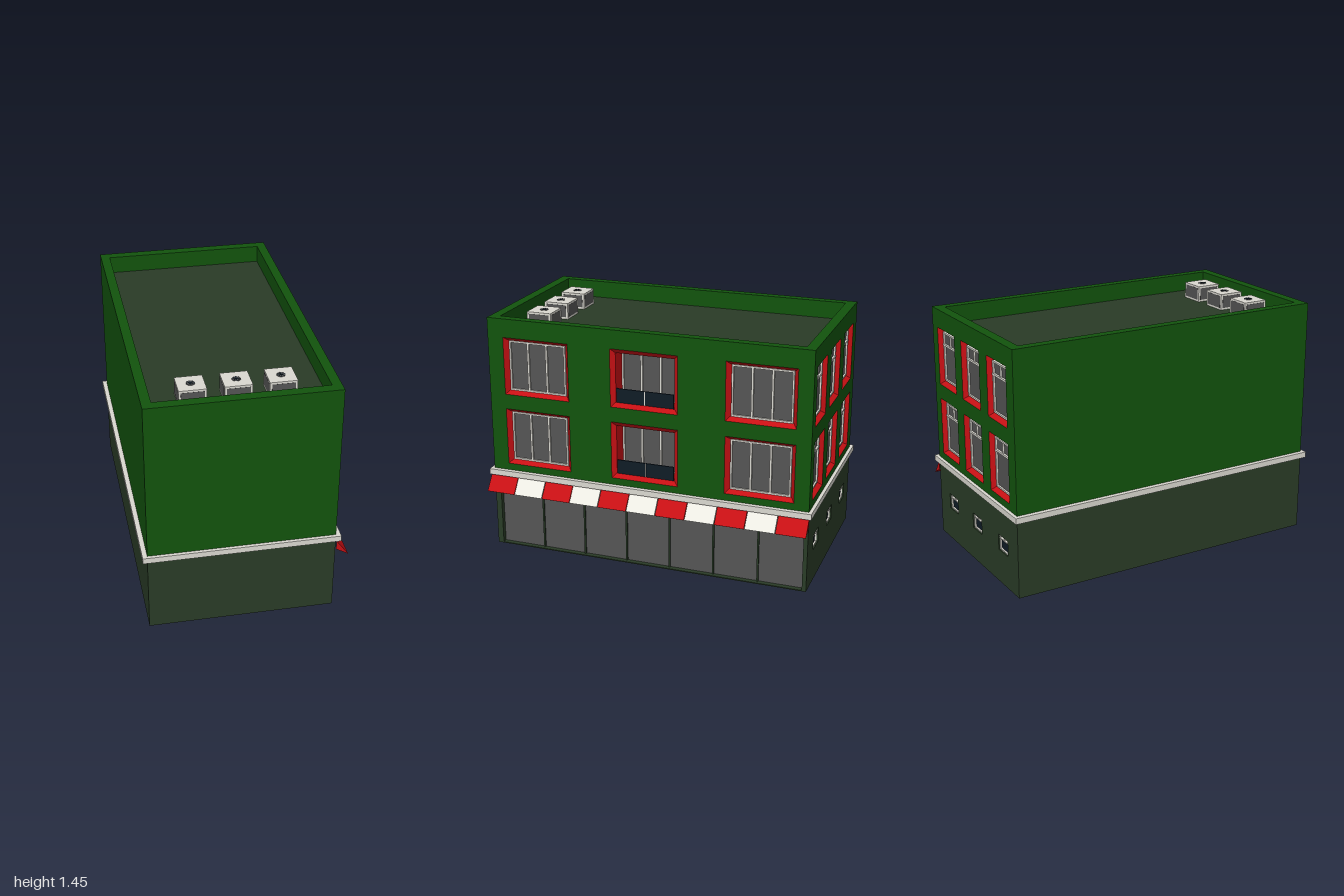
import * as THREE from 'three';

const paint = (color) => new THREE.MeshStandardMaterial({ color, side: THREE.DoubleSide });
const GREEN = paint(0x12540d), DARK = paint(0x2a3c27), RED = paint(0xc81014), TRIM = paint(0xdcdad2);
const WHITE = paint(0xecebe3), GLASS = paint(0x555555), NAVY = paint(0x0f1c26);

// Body extents and storey heights
const X0 = -0.56, X1 = 0.515, CX = (X0 + X1) / 2, W = X1 - X0, D = 1.96;
const BAND0 = 0.465, BAND1 = 0.5, ROOF = 1.34, TOP = 1.445;

function add(parent, name, geo, mat, x = 0, y = 0, z = 0) {
  const m = new THREE.Mesh(geo, mat);
  m.name = name;
  m.position.set(x, y, z);
  parent.add(m);
  return m;
}
const box = (parent, name, mat, w, h, d, x, y, z) =>
  add(parent, name, new THREE.BoxGeometry(w, h, d), mat, x, y, z);

function rect(target, x0, y0, x1, y1) {
  return target.moveTo(x0, y0).lineTo(x1, y0).lineTo(x1, y1).lineTo(x0, y1).closePath();
}

// Horizontal rectangular ring between two heights
function ring(parent, name, mat, ow, od, iw, id, y0, y1) {
  const s = rect(new THREE.Shape(), -ow / 2, -od / 2, ow / 2, od / 2);
  s.holes.push(rect(new THREE.Path(), -iw / 2, -id / 2, iw / 2, id / 2));
  const g = new THREE.ExtrudeGeometry(s, { depth: y1 - y0, bevelEnabled: false }).rotateX(-Math.PI / 2);
  return add(parent, name, g, mat, CX, y0, 0);
}

// Flat wall with openings given as { x, y, w, h } about their centres
function wall(parent, name, mat, w, y0, y1, holes = []) {
  const s = rect(new THREE.Shape(), -w / 2, y0, w / 2, y1);
  for (const o of holes)
    s.holes.push(rect(new THREE.Path(), o.x - o.w / 2, o.y - o.h / 2, o.x + o.w / 2, o.y + o.h / 2));
  return add(parent, name, new THREE.ShapeGeometry(s), mat);
}

// Lining of an opening: rectangles joined through [inset, depth] steps
function reveal(parent, name, mat, w, h, steps) {
  const loops = steps.map(([i, d]) => [[-1, -1], [1, -1], [1, 1], [-1, 1]]
    .map(([sx, sy]) => [sx * (w / 2 - i), sy * (h / 2 - i), -d]));
  const p = [];
  for (let k = 0; k + 1 < loops.length; k++)
    for (let j = 0; j < 4; j++) {
      const n = (j + 1) % 4, a = loops[k][j], b = loops[k][n], c = loops[k + 1][n], d = loops[k + 1][j];
      p.push(...a, ...b, ...c, ...a, ...c, ...d);
    }
  const g = new THREE.BufferGeometry();
  g.setAttribute('position', new THREE.Float32BufferAttribute(p, 3));
  g.computeVertexNormals();
  return add(parent, name, g, mat);
}

// Pane with a thin light border
function pane(parent, w, h, z, glass = GLASS, t = 0.01) {
  add(parent, 'glass', new THREE.PlaneGeometry(w, h), glass, 0, 0, z);
  for (const s of [-1, 1]) {
    box(parent, 'sashSide', TRIM, t, h, 0.012, s * (w - t) / 2, 0, z + 0.004);
    box(parent, 'sashRail', TRIM, w, t, 0.012, 0, s * (h - t) / 2, z + 0.004);
  }
}

function opening(parent, name, o) {
  const g = new THREE.Group();
  g.name = name;
  g.position.set(o.x, o.y, 0);
  parent.add(g);
  return g;
}

// Three-light window, optionally set deep behind a balcony panel
function sideWindow(parent, o, balcony) {
  const g = opening(parent, balcony ? 'balcony' : 'sideWindow', o);
  const depth = balcony ? 0.13 : 0.035, w = o.w - 0.06, h = o.h - 0.05;
  reveal(g, 'redSurround', RED, o.w, o.h, balcony ? [[0, 0], [0.027, 0.02], [0.027, depth]] : [[0, 0], [0.027, depth]]);
  pane(g, w + 0.006, h + 0.004, -depth + 0.002);
  for (const s of [-1, 1]) box(g, 'mullion', TRIM, 0.012, h, 0.012, s * w / 6, 0, -depth + 0.006);
  if (balcony) {
    box(g, 'balconyPanel', NAVY, w, 0.085, 0.008, 0, -h / 2 + 0.043, -0.022);
    box(g, 'balconyPost', TRIM, 0.005, 0.085, 0.012, 0, -h / 2 + 0.043, -0.021);
  }
}

// Sash window with a split upper light
function backWindow(parent, o) {
  const g = opening(parent, 'backWindow', o);
  const w = o.w - 0.05, h = o.h - 0.05;
  reveal(g, 'redSurround', RED, o.w, o.h, [[0, 0], [0.025, 0.035]]);
  pane(g, w, h, -0.033);
  box(g, 'transom', TRIM, w, 0.012, 0.014, 0, h * 0.24, -0.028);
  box(g, 'upperMullion', TRIM, 0.008, h * 0.26, 0.012, 0, h * 0.37, -0.029);
}

function ventWindow(parent, o) {
  const g = opening(parent, 'ventWindow', o);
  reveal(g, 'ventLining', DARK, o.w, o.h, [[0, 0], [0, 0.02]]);
  pane(g, o.w, o.h, -0.018, NAVY, 0.007);
  box(g, 'ventBar', TRIM, o.w, 0.006, 0.012, 0, o.h * 0.25, -0.012);
  box(g, 'ventMullion', TRIM, 0.006, o.h * 0.25, 0.012, 0, o.h * 0.37, -0.012);
}

// Striped shop awning: sloped sheets with triangular cheeks
function awning(parent) {
  const g = new THREE.Group();
  g.name = 'awning';
  parent.add(g);
  const n = 11, step = 1.985 / n, run = 0.07, drop = 0.095, len = Math.hypot(run, drop);
  const cheek = new THREE.Shape([[0, 0], [0, -0.055], [run, -drop]].map((p) => new THREE.Vector2(...p)));
  for (let i = 0; i < n; i++) {
    const z = 1 - (i + 0.5) * step, mat = i % 2 ? WHITE : RED;
    const sheet = box(g, 'awningStripe', mat, len, 0.003, step - 0.003, X1 + run / 2, BAND0 - drop / 2, z);
    sheet.rotation.z = -Math.atan2(drop, run);
    if (i % 2 === 0)
      for (const s of [-1, 1])
        add(g, 'awningCheek', new THREE.ShapeGeometry(cheek), RED, X1, BAND0, z + s * (step / 2 - 0.002));
  }
}

// Rooftop cooler with framed side panels and a fan on top
function cooler(parent, x) {
  const g = new THREE.Group();
  g.name = 'rooftopCooler';
  g.position.set(x, ROOF, 0.75);
  parent.add(g);
  const s = 0.153, h = 0.098;
  box(g, 'coolerBody', TRIM, s, h, s, 0, h / 2, 0);
  for (let i = 0; i < 4; i++) {
    const side = new THREE.Group();
    side.rotation.y = i * Math.PI / 2;
    side.name = 'coolerSide';
    g.add(side);
    box(side, 'coolerGrille', GLASS, s - 0.024, h - 0.024, 0.002, 0, h / 2, s / 2);
  }
  add(g, 'fanOpening', new THREE.CylinderGeometry(0.025, 0.025, 0.002, 20), GLASS, 0, h + 0.001, 0);
  add(g, 'fanHub', new THREE.CylinderGeometry(0.007, 0.007, 0.004, 12), NAVY, 0, h + 0.002, 0);
  for (let i = 0; i < 4; i++)
    box(g, 'fanSpoke', NAVY, 0.048, 0.002, 0.003, 0, h + 0.002, 0).rotation.y = i * Math.PI / 4;
}

export function createModel() {
  const model = new THREE.Group();
  model.name = 'building';

  // One group per facade: local x along the wall, local z outward
  const facade = (name, x, z, turn) => {
    const g = new THREE.Group();
    g.name = name;
    g.position.set(x, 0, z);
    g.rotation.y = turn;
    model.add(g);
    return g;
  };
  const front = facade('frontFacade', CX, D / 2, 0);
  const blind = facade('blindFacade', X0, 0, -Math.PI / 2);
  const back = facade('backFacade', CX, -D / 2, Math.PI);
  const shop = facade('shopFacade', X1, 0, Math.PI / 2);

  // Blank facades
  for (const [g, w] of [[front, W], [blind, D]]) {
    wall(g, 'lowerWall', DARK, w, 0, BAND0);
    wall(g, 'upperWall', GREEN, w, BAND1, ROOF);
  }

  // Shop side: two rows of windows above a glazed front
  const rows = [0.717, 1.158];
  const sideHoles = rows.flatMap((y) => [-0.677, -0.005, 0.686].map((x) => ({ x, y, w: 0.41, h: 0.35 })));
  wall(shop, 'upperWall', GREEN, D, BAND1, ROOF, sideHoles);
  sideHoles.forEach((o, i) => sideWindow(shop, o, i % 3 === 1));
  const store = { x: 0.005, y: 0.222, w: 1.9, h: 0.432 };
  wall(shop, 'lowerWall', DARK, D, 0, BAND0, [store]);
  const glazing = opening(shop, 'shopGlazing', store);
  reveal(glazing, 'shopLining', DARK, store.w, store.h, [[0, 0], [0, 0.03]]);
  for (let i = 0; i < 7; i++) {
    const x = (i - 3) * store.w / 7;
    add(glazing, 'shopPane', new THREE.PlaneGeometry(store.w / 7, store.h), GLASS, x, 0, -0.03);
    if (i) box(glazing, 'shopMullion', DARK, 0.01, store.h, 0.012, x - store.w / 14, 0, -0.026);
  }
  awning(model);

  // Back: sash windows above small vents
  const backHoles = rows.flatMap((y) => [-0.347, -0.012, 0.33].map((x) => ({ x, y, w: 0.24, h: 0.35 })));
  wall(back, 'upperWall', GREEN, W, BAND1, ROOF, backHoles);
  backHoles.forEach((o) => backWindow(back, o));
  const vents = [-0.338, 0, 0.348].map((x) => ({ x, y: 0.25, w: 0.12, h: 0.095 }));
  wall(back, 'lowerWall', DARK, W, 0, BAND0, vents);
  vents.forEach((o) => ventWindow(back, o));

  // Storey band, ceiling, parapet and roof
  ring(model, 'storeyBand', TRIM, W + 0.055, 2, W, D, BAND0, BAND1);
  add(model, 'ceiling', new THREE.PlaneGeometry(W, D).rotateX(Math.PI / 2), GREEN, CX, BAND1, 0);
  ring(model, 'parapet', GREEN, W, D, W - 0.11, D - 0.12, ROOF, TOP);
  add(model, 'roof', new THREE.PlaneGeometry(W - 0.11, D - 0.12).rotateX(-Math.PI / 2), DARK, CX, ROOF, 0);
  for (const x of [-0.27, -0.022, 0.223]) cooler(model, x);

  return model;
}
